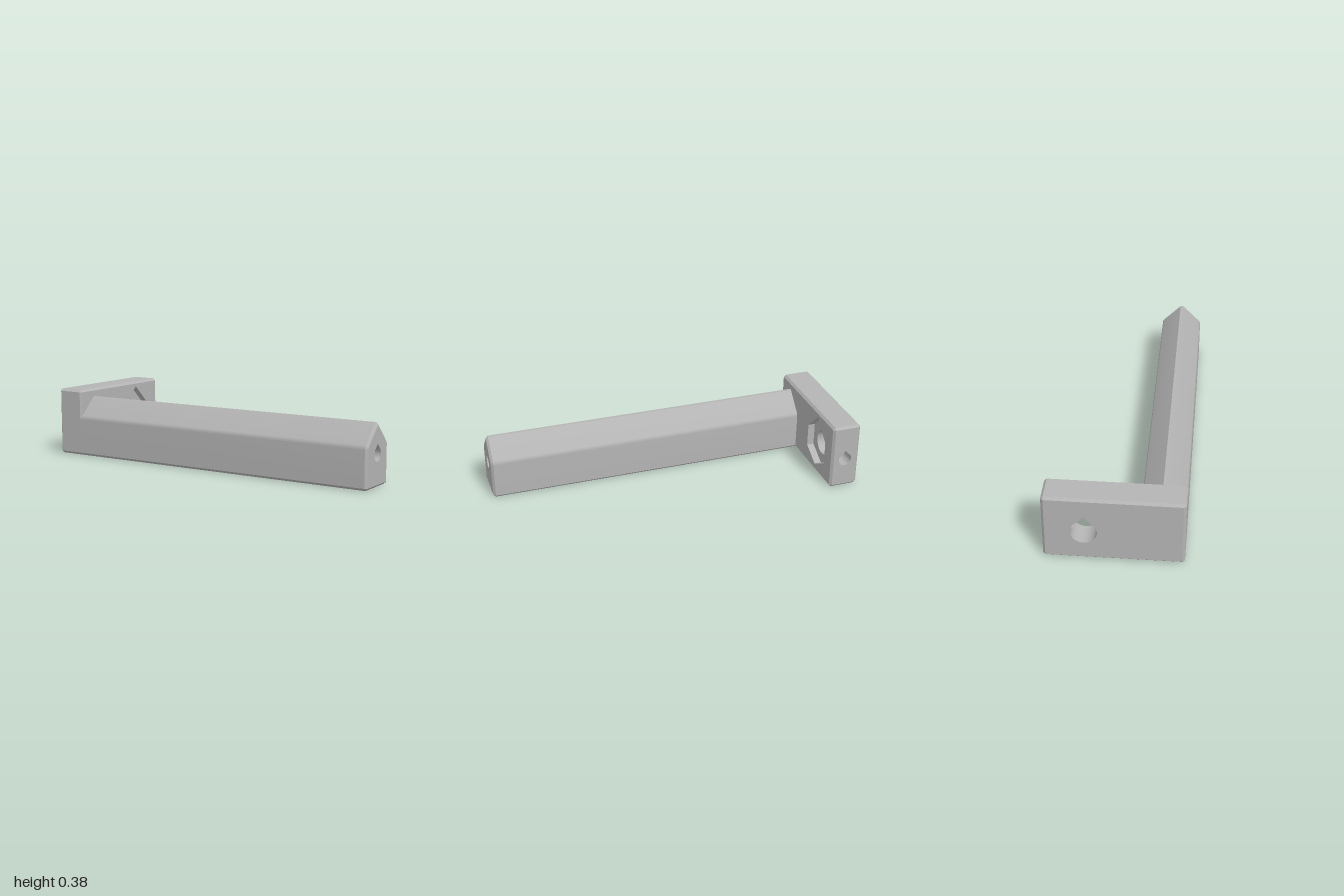
import * as THREE from 'three';
import { mergeGeometries, toCreasedNormals } from 'three/addons/utils/BufferGeometryUtils.js';

// Sections are lists of [s, y], counter-clockwise seen from +x, with s = -z.
const C = 0.013;                      // edge chamfer
const X0 = -1, X1 = -0.835;           // plate thickness
const XM = (X0 + X1) / 2;
const HY = 0.172;                     // height of all hole centres
const NUT = 0.15, ARM = -0.2425;      // s of the through hole and of the arm
const R_BIG = 0.068, R_SMALL = 0.0375, R_PILOT = 0.025;
const POCKET = -0.875;                // floor of the nut pocket

const at = (x, [s, y]) => [x, y, -s];

function surface(quads) {
  const pos = [];
  const same = (a, b) => Math.hypot(a[0] - b[0], a[1] - b[1], a[2] - b[2]) < 1e-6;
  const tri = (a, b, c) => {
    if (!same(a, b) && !same(b, c) && !same(a, c)) pos.push(...a, ...b, ...c);
  };
  for (const [a, b, c, d] of quads) { tri(a, b, c); tri(a, c, d); }
  const g = new THREE.BufferGeometry();
  g.setAttribute('position', new THREE.Float32BufferAttribute(pos, 3));
  g.computeVertexNormals();
  return toCreasedNormals(g, 0.5);
}

// Skin between closed rings of 3D points
function loft(rings, { inward = false, skip = () => false } = {}) {
  const quads = [];
  for (let k = 0; k + 1 < rings.length; k++) {
    const a = rings[k], b = rings[k + 1], n = a.length;
    for (let i = 0; i < n; i++) {
      if (skip(k, i)) continue;
      const j = (i + 1) % n, q = [a[i], a[j], b[j], b[i]];
      quads.push(inward ? q.reverse() : q);
    }
  }
  return surface(quads);
}

const ring = (x, pts) => pts.map((p) => at(x, p));

function flat(pts, holes = []) {
  const vec = (l) => l.map(([u, v]) => new THREE.Vector2(u, v));
  const shape = new THREE.Shape(vec(pts));
  holes.forEach((h) => shape.holes.push(new THREE.Path(vec(h))));
  const g = new THREE.ShapeGeometry(shape).toNonIndexed();
  g.deleteAttribute('uv');
  return g;
}

// Flat face across x, looking towards +x (dir 1) or -x (dir -1)
function face(x, dir, pts, holes = []) {
  const m = (l) => l.map(([s, y]) => [s * dir, y]);
  return flat(m(pts), holes.map(m)).rotateY(dir * Math.PI / 2).translate(x, 0, 0);
}

// Teardrop outline: three quarters of a circle with a 45 degree peak
function teardrop(r, cu) {
  const pts = [], k = r * Math.SQRT1_2, top = r * Math.SQRT2, n = 8;
  for (let i = 0; i < n; i++) {
    const t = i / n;
    pts.push([cu - k * t, HY + top + (k - top) * t]);
  }
  for (let i = 0; i <= 60; i++) {
    const a = Math.PI * (0.75 + 1.5 * i / 60);
    pts.push([cu + r * Math.cos(a), HY + r * Math.sin(a)]);
  }
  for (let i = 1; i < n; i++) {
    const t = i / n;
    pts.push([cu + k * (1 - t), HY + k + (top - k) * t]);
  }
  return pts;
}

// Half width of a teardrop at height y
function halfWidth(r, y) {
  const h = y - HY;
  if (h > r * Math.SQRT1_2) return Math.max(0, r * Math.SQRT2 - h);
  return Math.sqrt(Math.max(0, r * r - h * h));
}

function plateSection(d) {
  const w = 0.36, h = 0.38;
  return [[w - d, C], [w - d, h - C], [w - C, h - d], [C - w, h - d],
    [d - w, h - C], [d - w, C], [C - w, d], [w - C, d]];
}

function armSection(d) {
  const w = 0.1175, r = 0.034, half = [[w - C, d], [w - d, C]];
  for (let i = 0; i <= 6; i++) {
    const a = Math.PI / 4 * i / 6;
    half.push([w - r + (r - d) * Math.cos(a), 0.21 + (r - d) * Math.sin(a)]);
  }
  const peak = 0.3415 - Math.SQRT2 * d, y = Math.min(0.333, peak);
  half.push([peak - y, y]);
  const other = half.map(([s, v]) => [-s, v]).reverse();
  return [...half, ...other].map(([s, v]) => [s + ARM, v]);
}

export function createModel() {
  const group = new THREE.Group();
  const grey = new THREE.MeshStandardMaterial({ color: 0xb4b4b4, side: THREE.DoubleSide });
  grey.name = 'grey plastic';
  const add = (name, ...geos) => {
    const mesh = new THREE.Mesh(mergeGeometries(geos), grey);
    mesh.name = name;
    group.add(mesh);
  };

  const big = teardrop(R_BIG, NUT);
  const hex = [[0, 0.04], [0.115, 0.105], [0.115, 0.237], [0, 0.35], [-0.115, 0.237], [-0.115, 0.105]]
    .map(([s, y]) => [s + NUT, y]);
  const sideHole = teardrop(R_SMALL, XM);

  // Mounting plate with chamfered edges
  const inset = plateSection(C), full = plateSection(0);
  const backFace = flat(
    [[X0 + C, C], [X1 - C, C], [X1 - C, 0.38 - C], [X0 + C, 0.38 - C]].map(([x, y]) => [-x, y]),
    [sideHole.map(([x, y]) => [-x, y])]
  ).rotateY(Math.PI).translate(0, 0, -0.36);
  add('mountingPlate',
    loft([ring(X0, inset), ring(X0 + C, full), ring(X1 - C, full), ring(X1, inset)],
      { skip: (k, i) => k === 1 && i === 0 }),
    face(X0, -1, inset, [big]),
    face(X1, 1, inset, [hex]),
    backFace);

  // Nut pocket with its floor
  add('nutPocket',
    loft([ring(POCKET, hex), ring(X1, hex)], { inward: true }),
    face(POCKET, 1, hex, [big]));

  // Through hole, open where the side hole enters it
  const gap = ([s, y]) => (s > NUT ? halfWidth(R_SMALL, y) : 0);
  add('boltHole',
    loft([ring(X0, big), big.map((p) => at(XM - gap(p), p))], { inward: true }),
    loft([big.map((p) => at(XM + gap(p), p)), ring(POCKET, big)], { inward: true }));

  // Side hole from the back edge into the through hole
  add('sideHole', loft([
    sideHole.map(([x, y]) => [x, y, -0.36]),
    sideHole.map(([x, y]) => [x, y, -(NUT + halfWidth(R_BIG, y))])
  ], { inward: true }));

  // Long arm with a peaked top and chamfered end
  const bore = teardrop(R_SMALL, ARM), pilot = teardrop(R_PILOT, ARM);
  const body = armSection(0), tip = armSection(C);
  add('arm',
    loft([ring(X1 - C, body), ring(1 - C, body), ring(1, tip)]),
    face(1, 1, tip, [bore]));

  // Stepped blind hole in the arm end
  const step = 0.88, bottom = 0.6;
  add('armEndHole',
    loft([ring(step, bore), ring(1, bore)], { inward: true }),
    face(step, 1, bore, [pilot]),
    loft([ring(bottom, pilot), ring(step, pilot)], { inward: true }),
    face(bottom, 1, pilot));

  return group;
}
